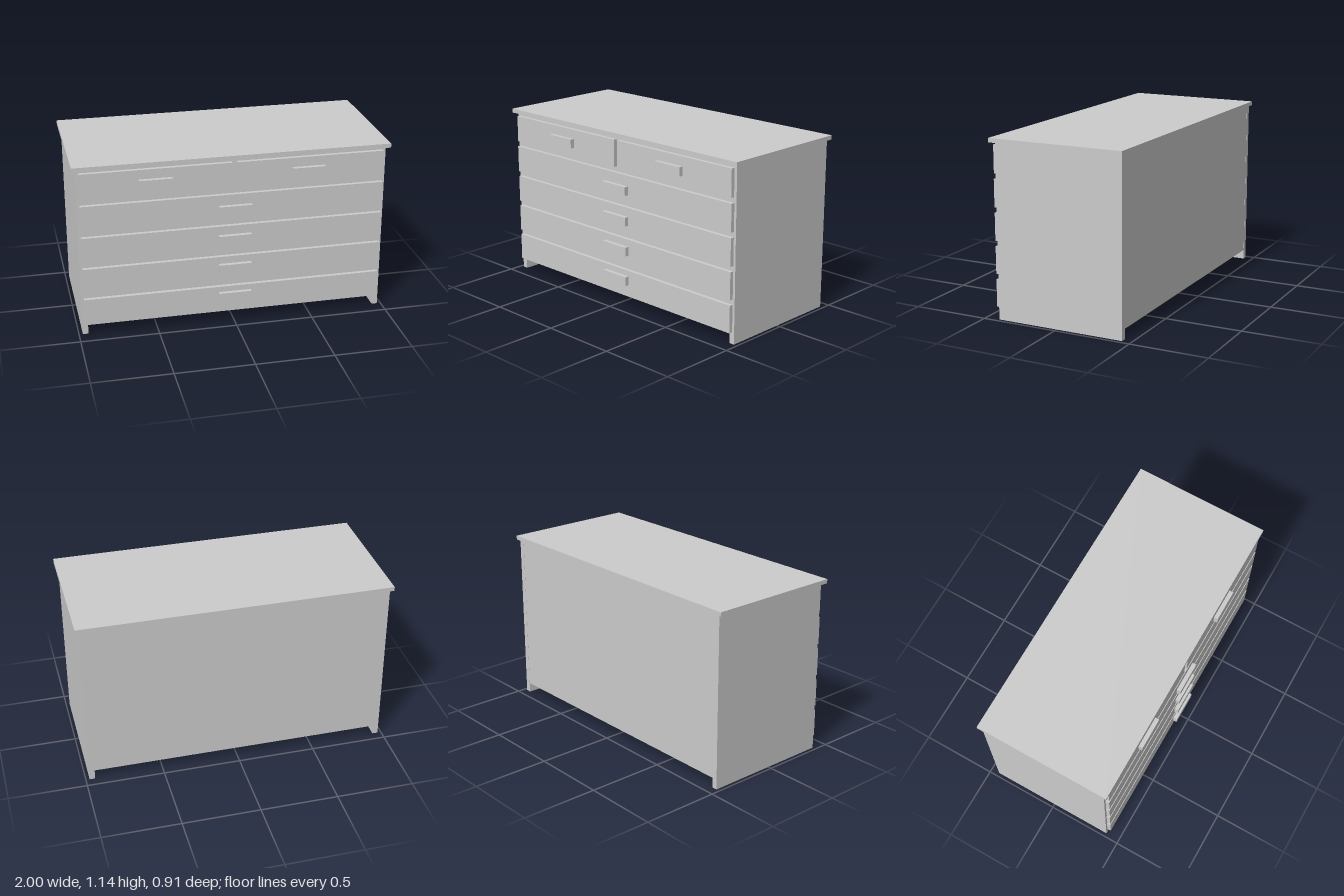
import * as THREE from 'three';

const material = new THREE.MeshStandardMaterial({ color: 0xcccccc, flatShading: true });

// Box given by its extents along each axis
function box(name, [x0, x1], [y0, y1], [z0, z1]) {
  const mesh = new THREE.Mesh(new THREE.BoxGeometry(x1 - x0, y1 - y0, z1 - z0), material);
  mesh.name = name;
  mesh.position.set((x0 + x1) / 2, (y0 + y1) / 2, (z0 + z1) / 2);
  return mesh;
}

// Drawer front with its block handle
function drawer(name, xRange, y, handleX, handleY) {
  const group = new THREE.Group();
  group.name = name;
  group.add(
    box('drawerFront', xRange, [y, y + 0.176], [0.405, 0.43]),
    box('handle', [handleX - 0.104, handleX + 0.104], [handleY - 0.029, handleY + 0.029], [0.43, 0.457])
  );
  return group;
}

export function createModel() {
  const model = new THREE.Group();
  model.name = 'chestOfDrawers';

  // Overhanging top board
  model.add(box('top', [-1, 1], [1.109, 1.136], [-0.455, 0.436]));

  // Side panels reaching the floor
  model.add(box('leftSide', [0.94, 0.976], [0, 1.109], [-0.442, 0.405]));
  model.add(box('rightSide', [-0.976, -0.94], [0, 1.109], [-0.442, 0.405]));

  // Body between the sides, raised off the floor
  model.add(box('body', [-0.94, 0.94], [0.064, 1.109], [-0.441, 0.404]));

  // Four wide drawers
  for (let i = 0; i < 4; i++) {
    model.add(drawer('wideDrawer' + (i + 1), [-0.96, 0.96], 0.075 + i * 0.2097, 0.002, 0.185 + i * 0.199));
  }

  // Two half-width drawers on the top row
  model.add(drawer('topRightDrawer', [-0.957, -0.015], 0.914, -0.494, 1.0));
  model.add(drawer('topLeftDrawer', [0.015, 0.957], 0.914, 0.468, 1.0));

  return model;
}
